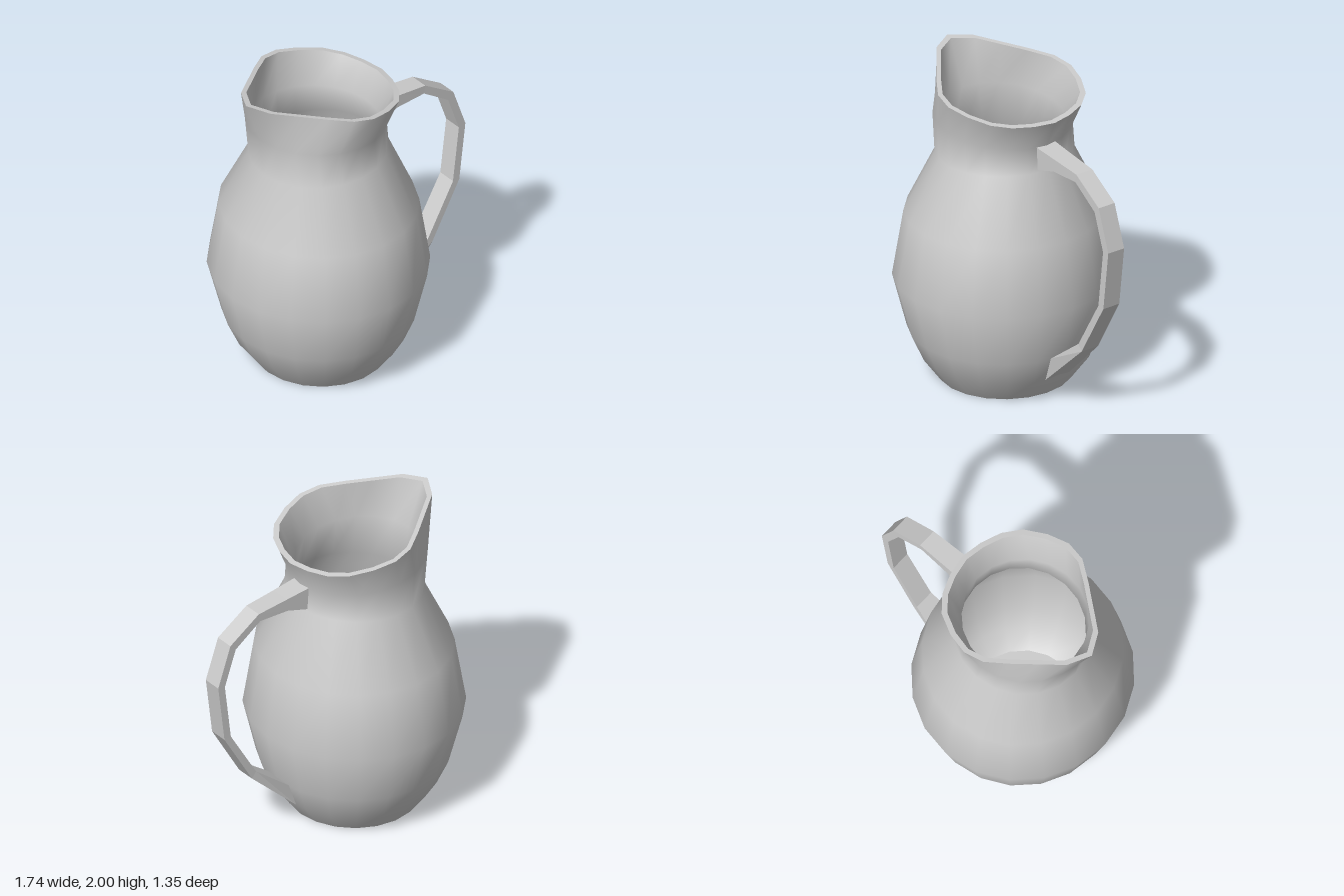
import * as THREE from 'three';

const SIDES = 20;

// Round ring with slightly different x and z radii; yLeft / yRight tilt it along x
function ring(cx, rx, rz, yRight, yLeft = yRight) {
  return Array.from({ length: SIDES }, (_, k) => {
    const a = (k / SIDES) * Math.PI * 2, c = Math.cos(a);
    return [cx + rx * c, (yRight + yLeft) / 2 + ((yRight - yLeft) / 2) * c, rz * Math.sin(a)];
  });
}

// Half outline of the mouth, from the handle side round to the pointed spout
const MOUTH = [[0.275, 0], [0.25, 0.135], [0.2, 0.26], [0.115, 0.36], [-0.02, 0.43], [-0.16, 0.465],
  [-0.29, 0.44], [-0.42, 0.35], [-0.555, 0.245], [-0.69, 0.14], [-0.765, 0]];

// Mouth ring on a sloping plane, shrunk by s for the inner edge
function mouthRing(s) {
  return Array.from({ length: SIDES }, (_, k) => {
    const [px, pz] = MOUTH[k <= 10 ? k : SIDES - k];
    const x = -0.22 + (px + 0.22) * s;
    return [x, 1.815 + ((0.275 - x) / 1.04) * 0.185, (k <= 10 ? pz : -pz) * s];
  });
}

// Skin a list of equal-sized rings; normals are smooth within one loft
function loft(rings) {
  const n = rings[0].length, index = [];
  for (let i = 0; i < rings.length - 1; i++) {
    for (let k = 0; k < n; k++) {
      const a = i * n + k, b = i * n + (k + 1) % n;
      index.push(a, a + n, b, b, a + n, b + n);
    }
  }
  const g = new THREE.BufferGeometry();
  g.setAttribute('position', new THREE.Float32BufferAttribute(rings.flat(2), 3));
  g.setIndex(index);
  g.computeVertexNormals();
  return g;
}

export function createModel() {
  const group = new THREE.Group();
  const smooth = new THREE.MeshStandardMaterial({ color: 0xcccccc });
  const flat = new THREE.MeshStandardMaterial({ color: 0xcccccc, flatShading: true });
  const add = (name, geometry, material) => {
    const mesh = new THREE.Mesh(geometry, material);
    mesh.name = name;
    group.add(mesh);
  };

  // Body profile: centre x, x radius, z radius, y on the handle side, y on the spout side
  const profile = [
    [-0.2, 0.4, 0.41, 0, 0],
    [-0.2, 0.51, 0.52, 0.15, 0.15],
    [-0.205, 0.578, 0.59, 0.31, 0.31],
    [-0.21, 0.66, 0.677, 0.65, 0.65],
    [-0.208, 0.593, 0.61, 1.07, 1.07],
    [-0.21, 0.42, 0.415, 1.48, 1.44],
    [-0.23, 0.43, 0.41, 1.64, 1.71],
  ];
  const wall = 0.04;
  const outer = profile.map((p) => ring(...p));
  const inner = profile.map(([cx, rx, rz, y0, y1], i) =>
    ring(cx, rx - wall, rz - wall, i ? y0 : 0.05, i ? y1 : 0.05));

  add('body', loft([...outer, mouthRing(1)]), smooth);
  add('rim', loft([mouthRing(1), mouthRing(0.93)]), flat);
  add('innerWall', loft([mouthRing(0.93), ...inner.reverse()]), smooth);
  add('floor', loft([inner[inner.length - 1], ring(-0.2, 0, 0, 0.05)]), flat);
  add('base', loft([ring(-0.2, 0, 0, 0), outer[0]]), flat);

  // Handle sections: outer x, y, inner x, y, half width outside, half width inside
  const sections = [
    [0.19, 1.64, 0.2, 1.495, 0.07, 0.07],
    [0.35, 1.622, 0.345, 1.54, 0.065, 0.065],
    [0.56, 1.6, 0.55, 1.547, 0.06, 0.06],
    [0.775, 1.46, 0.735, 1.42, 0.06, 0.06],
    [0.867, 1.195, 0.817, 1.185, 0.06, 0.06],
    [0.82, 0.81, 0.772, 0.815, 0.06, 0.06],
    [0.613, 0.45, 0.583, 0.49, 0.062, 0.062],
    [0.3, 0.15, 0.365, 0.32, 0.09, 0.1],
  ].map(([ox, oy, ix, iy, wo, wi]) => [[ox, oy, wo], [ox, oy, -wo], [ix, iy, -wi], [ix, iy, wi]]);
  // Close both ends by collapsing them to their midpoints
  const cap = (s) => {
    const m = [0, 1, 2].map((j) => s.reduce((t, p) => t + p[j], 0) / 4);
    return [m, m, m, m];
  };
  add('handle', loft([cap(sections[0]), ...sections, cap(sections[7])]), flat);

  return group;
}
